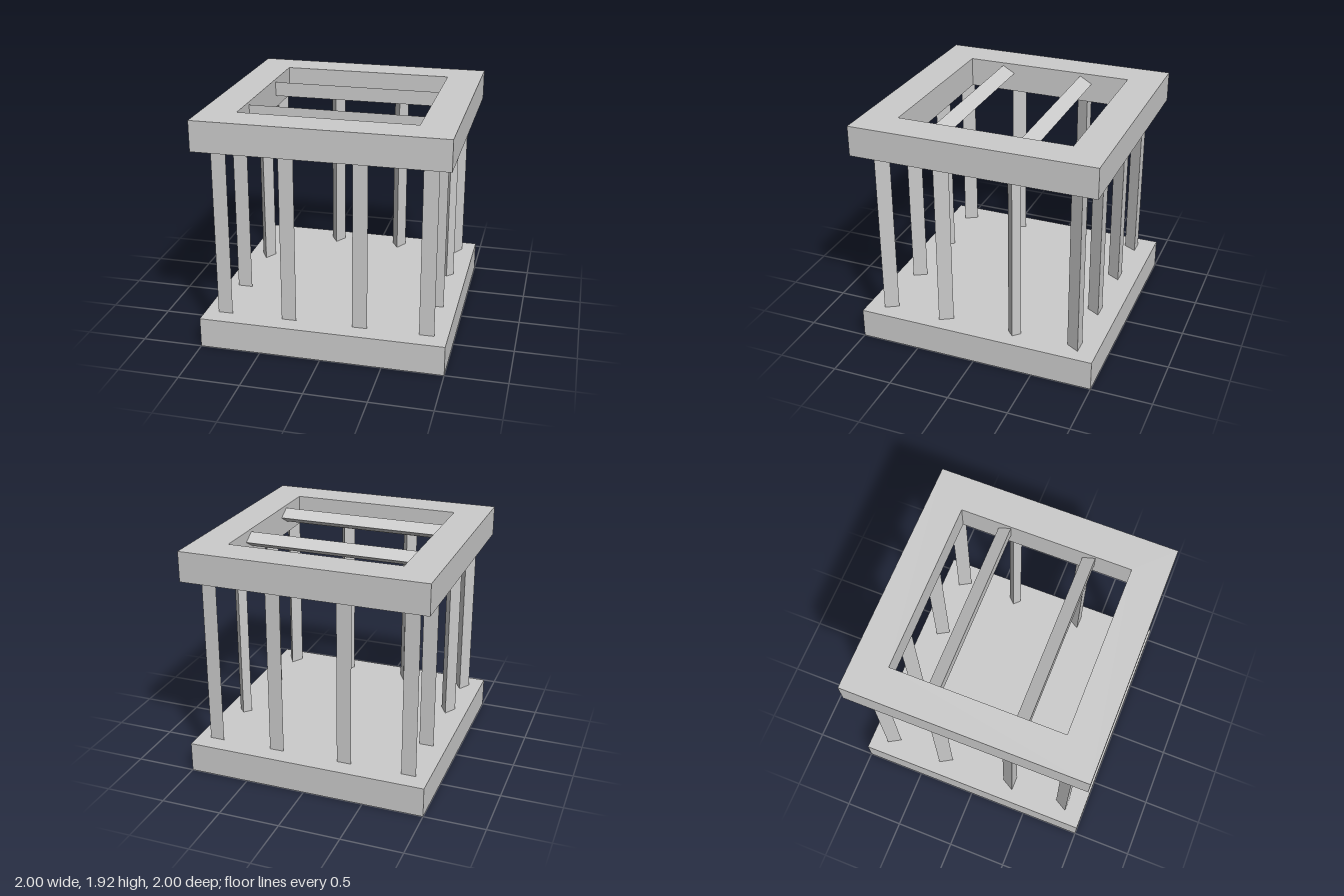
import * as THREE from 'three';

const material = new THREE.MeshStandardMaterial({ color: 0xcccccc, flatShading: true });

const BASE_TOP = 0.25, RING_BOTTOM = 1.677, TOP = 1.925;
const HOLE = 0.713;
const BAR_RADIUS = 0.07;

export function createModel() {
  const model = new THREE.Group();
  model.name = 'cage';

  const add = (name, geometry, x, y, z, parent = model) => {
    const mesh = new THREE.Mesh(geometry, material);
    mesh.name = name;
    mesh.position.set(x, y, z);
    parent.add(mesh);
    return mesh;
  };

  // Solid floor slab
  add('base', new THREE.BoxGeometry(2, BASE_TOP, 2), 0, BASE_TOP / 2, 0);

  // Square roof frame with an open middle
  const square = (path, h) => path.moveTo(-h, -h).lineTo(h, -h).lineTo(h, h).lineTo(-h, h).closePath();
  const outline = square(new THREE.Shape(), 1);
  outline.holes.push(square(new THREE.Path(), HOLE));
  const ring = new THREE.ExtrudeGeometry(outline, { depth: TOP - RING_BOTTOM, bevelEnabled: false });
  ring.rotateX(-Math.PI / 2);
  add('roofFrame', ring, 0, RING_BOTTOM, 0);

  // Upright bars around the edge: triangular, flat side facing outwards in z
  const bars = new THREE.Group();
  bars.name = 'uprightBars';
  model.add(bars);
  const barHeight = RING_BOTTOM - BASE_TOP + 0.02;
  const midY = (RING_BOTTOM + BASE_TOP) / 2;
  const triangular = new THREE.CylinderGeometry(BAR_RADIUS, BAR_RADIUS, barHeight, 3);
  const square4 = new THREE.CylinderGeometry(0.0535, 0.0535, barHeight, 4);
  const xs = [-0.831, -0.292, 0.292, 0.831];
  const zs = [-0.815, -0.313, 0.313, 0.815];
  xs.forEach((x, i) => zs.forEach((z, j) => {
    const inside = i % 3 !== 0 && j % 3 !== 0;
    if (inside) return;
    if (i === 3 && j === 1) {
      // The one four-sided bar, set corner-on
      add('squareBar', square4, x, midY, -0.296, bars);
      return;
    }
    const bar = add('triangularBar', triangular, x, midY, z, bars);
    if (z > 0) bar.rotation.y = Math.PI;
  }));

  // Two triangular crossbars spanning the roof opening, flat side to the front
  const cross = new THREE.CylinderGeometry(BAR_RADIUS, BAR_RADIUS, 2 * HOLE + 0.02, 3);
  cross.rotateZ(Math.PI / 2).rotateY(Math.PI);
  for (const z of [-0.329, 0.382]) add('crossbar', cross, 0, 1.84, z);

  return model;
}
